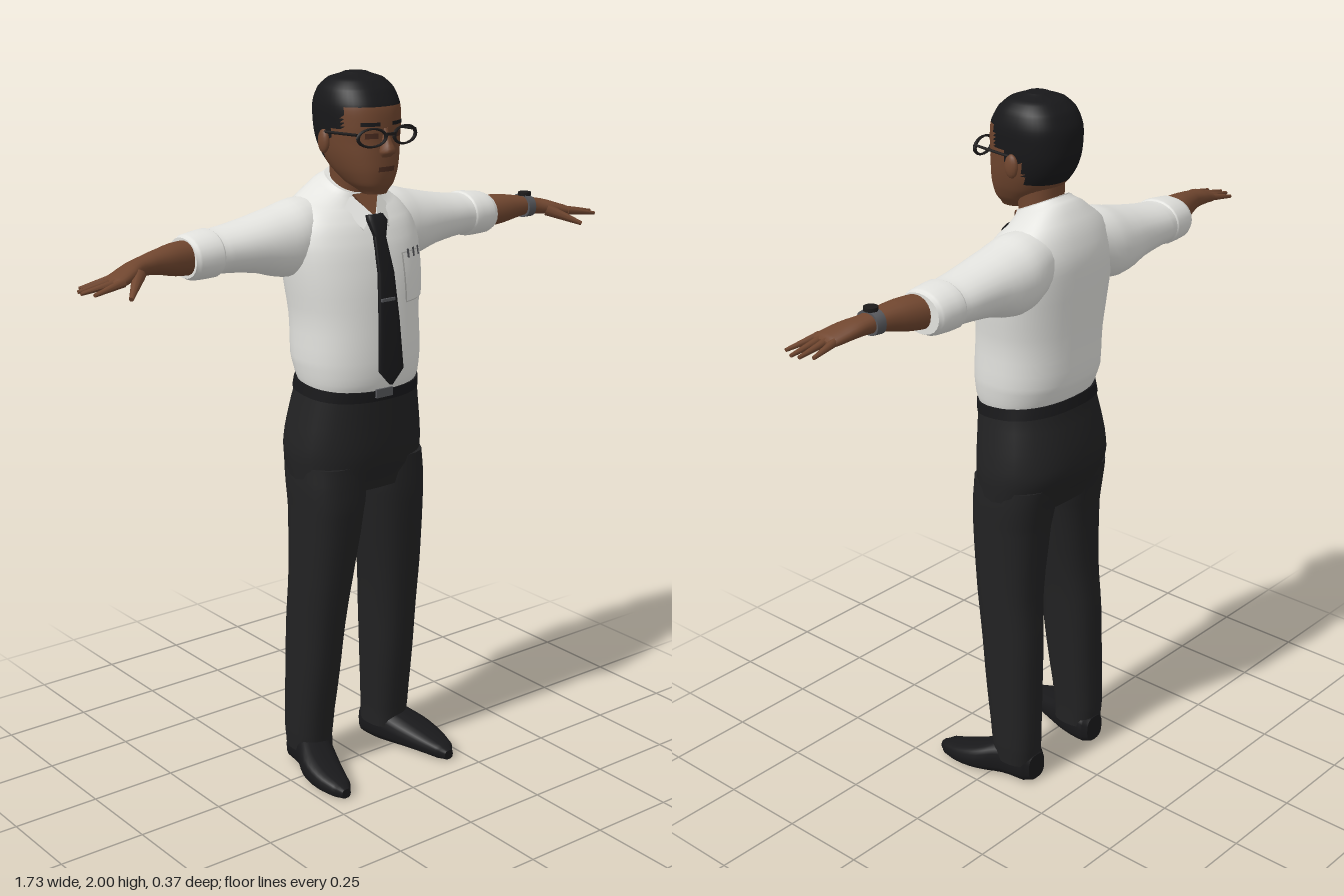
import * as THREE from 'three';

const mat = (name, color, side = THREE.FrontSide) => {
  const m = new THREE.MeshStandardMaterial({ color, side });
  m.name = name;
  return m;
};

// Catmull-Rom refinement of a list of rings
function refine(rings, sub) {
  const out = [];
  const at = i => rings[Math.max(0, Math.min(rings.length - 1, i))];
  for (let i = 0; i < rings.length - 1; i++) {
    for (let k = 0; k < sub; k++) {
      const t = k / sub;
      out.push(rings[i].map((b, q) => {
        const a = at(i - 1)[q], c = at(i + 1)[q], d = at(i + 2)[q];
        if (q === 0) return b + (c - b) * t;
        return b + 0.5 * t * (c - a + t * (2 * a - 5 * b + 4 * c - d + t * (3 * (b - c) + d - a)));
      }));
    }
  }
  out.push(rings[rings.length - 1]);
  return out;
}

// Closed skin through rings [t, centreU, centreV, halfU, halfV, tilt], t ascending along the axis
function loft(rings, { n = 2.3, seg = 24, axis = 'y', sub = 3, pick = null } = {}) {
  const dense = refine(rings, sub), pos = [], lists = [[], []];
  const place = (t, u, v) => axis === 'y' ? [u, t, v] : axis === 'x' ? [t, u, v] : [u, v, t];
  const pw = c => Math.sign(c) * Math.abs(c) ** (2 / n);
  const addRing = ([t, cu, cv, hu, hv, tilt = 0]) => {
    for (let j = 0; j < seg; j++) {
      const a = j / seg * Math.PI * 2, v = hv * pw(Math.sin(a));
      pos.push(...place(t + tilt * v, cu + hu * pw(Math.cos(a)), cv + v));
    }
  };
  const tri = (a, b, c) => {
    const mid = [0, 1, 2].map(k => (pos[a * 3 + k] + pos[b * 3 + k] + pos[c * 3 + k]) / 3);
    lists[pick ? pick(...mid) : 0].push(...(axis === 'y' ? [a, b, c] : [a, c, b]));
  };
  dense.forEach(addRing);
  for (let i = 0; i < dense.length - 1; i++) {
    for (let j = 0; j < seg; j++) {
      const k = (j + 1) % seg, a = i * seg + j, b = i * seg + k;
      tri(a, a + seg, b);
      tri(b, a + seg, b + seg);
    }
  }
  [dense[0], dense[dense.length - 1]].forEach((r, end) => {
    const base = pos.length / 3;
    addRing(r);
    pos.push(...place(r[0], r[1], r[2]));
    for (let j = 0; j < seg; j++) {
      const a = base + j, b = base + (j + 1) % seg;
      end ? tri(base + seg, b, a) : tri(base + seg, a, b);
    }
  });
  const g = new THREE.BufferGeometry();
  g.setAttribute('position', new THREE.Float32BufferAttribute(pos, 3));
  g.setIndex([...lists[0], ...lists[1]]);
  if (pick) {
    g.addGroup(0, lists[0].length, 0);
    g.addGroup(lists[0].length, lists[1].length, 1);
  }
  g.computeVertexNormals();
  return g;
}

// Front z of a loft at (x, y)
const frontOf = (rings, n = 2.3) => (x, y) => {
  const d = refine(rings, 3);
  let i = 0;
  while (i < d.length - 2 && d[i + 1][0] < y) i++;
  const f = Math.max(0, Math.min(1, (y - d[i][0]) / (d[i + 1][0] - d[i][0])));
  const [, , cz, hx, hz] = d[i].map((a, q) => a + (d[i + 1][q] - a) * f);
  return cz + hz * Math.max(0, 1 - Math.abs(x / hx) ** n) ** (1 / n);
};

// Thin patch that follows a front surface
function patch(surf, x, y, w, h, off) {
  const g = new THREE.PlaneGeometry(w, h, 6, 6).translate(x, y, 0), p = g.attributes.position;
  for (let i = 0; i < p.count; i++) p.setZ(i, surf(p.getX(i), p.getY(i)) + off);
  g.computeVertexNormals();
  return g;
}

// Tapered rod between two points
function rod(a, b, r0, r1, seg = 8) {
  const p = new THREE.Vector3(...a), d = new THREE.Vector3(...b).sub(p);
  const g = new THREE.CylinderGeometry(r1, r0, d.length(), seg).translate(0, d.length() / 2, 0);
  g.applyQuaternion(new THREE.Quaternion().setFromUnitVectors(new THREE.Vector3(0, 1, 0), d.normalize()));
  return g.translate(p.x, p.y, p.z);
}

function mirrored(geo) {
  const g = geo.clone().scale(-1, 1, 1), ix = g.index.array;
  for (let i = 0; i < ix.length; i += 3) [ix[i], ix[i + 1]] = [ix[i + 1], ix[i]];
  g.computeVertexNormals();
  return g;
}

export function createModel() {
  const model = new THREE.Group();
  model.name = 'standingMan';
  const skin = mat('skin', 0x70462f), hair = mat('hair', 0x18181a), shirt = mat('shirt', 0xe2e2de, THREE.DoubleSide);
  const trousers = mat('trousers', 0x222223), black = mat('tieAndShoes', 0x19191b), frame = mat('glassesFrame', 0x1c1a1a);
  const metal = mat('metal', 0x55565a), darkSkin = mat('darkSkin', 0x4a2b1f), seam = mat('shirtSeam', 0xbdbdb9);

  const add = (name, geo, m, parent = model) => {
    const mesh = new THREE.Mesh(geo, m);
    mesh.name = name;
    parent.add(mesh);
    return mesh;
  };
  const pair = (name, geo, m) => {
    add(name + 'Left', geo, m);
    add(name + 'Right', mirrored(geo), m);
  };

  // Shirt body
  const torso = [
    [1.15, 0, -0.012, 0.168, 0.125, -0.1], [1.185, 0, -0.012, 0.177, 0.138, -0.05], [1.24, 0, -0.018, 0.185, 0.148, 0],
    [1.35, 0, -0.024, 0.185, 0.148, 0], [1.45, 0, -0.033, 0.198, 0.147, 0], [1.54, 0, -0.046, 0.205, 0.141, 0],
    [1.6, 0, -0.058, 0.195, 0.128, 0], [1.65, 0, -0.06, 0.16, 0.106, -0.15], [1.69, 0, -0.048, 0.1, 0.08, -0.4],
    [1.71, 0, -0.038, 0.07, 0.066, -0.45]];
  add('shirtBody', loft(torso, { seg: 36 }), shirt);
  const chest = frontOf(torso);

  // Sleeves, rolled cuffs and forearms
  pair('sleeve', loft([
    [0.08, 1.59, -0.085, 0.08, 0.08], [0.16, 1.57, -0.082, 0.1, 0.1], [0.22, 1.56, -0.082, 0.095, 0.1],
    [0.3, 1.562, -0.082, 0.075, 0.09], [0.4, 1.56, -0.084, 0.06, 0.08], [0.44, 1.558, -0.083, 0.059, 0.075]],
  { axis: 'x', n: 2.1 }), shirt);
  pair('cuff', loft([
    [0.425, 1.558, -0.083, 0.057, 0.074], [0.435, 1.558, -0.083, 0.064, 0.079], [0.5, 1.555, -0.08, 0.06, 0.073],
    [0.515, 1.555, -0.079, 0.053, 0.066]], { axis: 'x', n: 2.1 }), shirt);
  pair('forearm', loft([
    [0.48, 1.556, -0.075, 0.046, 0.05], [0.56, 1.56, -0.06, 0.042, 0.045], [0.63, 1.563, -0.046, 0.029, 0.034],
    [0.67, 1.56, -0.038, 0.024, 0.031], [0.71, 1.554, -0.024, 0.021, 0.039], [0.76, 1.542, -0.008, 0.016, 0.041],
    [0.78, 1.538, -0.005, 0.01, 0.037]], { axis: 'x', n: 2.2, seg: 20 }), skin);

  // Fingers: base z, tip x, tip z
  [[-0.034, 0.84, -0.046], [-0.014, 0.86, -0.017], [0.007, 0.865, 0.006], [0.024, 0.848, 0.042]].forEach(([z, tx, tz], i) => {
    pair('finger' + i, rod([0.755, 1.543, z], [tx, 1.528, tz], 0.0115, 0.005), skin);
  });
  pair('thumb', rod([0.695, 1.55, 0], [0.765, 1.512, 0.075], 0.018, 0.006), skin);

  // Wristwatch
  add('watchBand', loft([[0.632, 1.563, -0.044, 0.034, 0.039], [0.656, 1.561, -0.04, 0.031, 0.037]],
    { axis: 'x', sub: 1 }), metal);
  add('watchFace', new THREE.CylinderGeometry(0.019, 0.019, 0.01, 16).translate(0.644, 1.597, -0.042), frame);

  // Hips, belt and legs
  add('hips', loft([
    [0.865, 0, -0.022, 0.198, 0.112], [0.95, 0, -0.032, 0.205, 0.137], [1.0, 0, -0.033, 0.203, 0.143],
    [1.08, 0, -0.026, 0.19, 0.139], [1.17, 0, -0.015, 0.175, 0.131, -0.1]], { seg: 32, n: 2.4 }), trousers);
  add('belt', loft([[1.14, 0, -0.018, 0.181, 0.137, -0.1], [1.17, 0, -0.014, 0.178, 0.135, -0.1]],
    { seg: 32, n: 2.4, sub: 1 }), black);
  add('beltBuckle', new THREE.BoxGeometry(0.055, 0.024, 0.009).translate(-0.01, 1.15, 0.122), metal);
  pair('trouserLeg', loft([
    [0.06, 0.138, -0.06, 0.06, 0.067], [0.12, 0.14, -0.06, 0.062, 0.071], [0.3, 0.135, -0.047, 0.067, 0.083],
    [0.45, 0.13, -0.037, 0.071, 0.091], [0.6, 0.122, -0.022, 0.079, 0.096], [0.8, 0.107, -0.016, 0.094, 0.109],
    [0.88, 0.102, -0.022, 0.1, 0.116], [0.94, 0.1, -0.028, 0.098, 0.12]], { n: 2.5 }), trousers);
  pair('shoe', loft([
    [-0.13, 0.133, 0.045, 0.034, 0.04], [-0.11, 0.135, 0.05, 0.05, 0.05], [-0.04, 0.143, 0.055, 0.056, 0.055],
    [0.03, 0.17, 0.042, 0.06, 0.042], [0.1, 0.186, 0.03, 0.05, 0.03], [0.16, 0.19, 0.022, 0.033, 0.022],
    [0.185, 0.19, 0.016, 0.015, 0.014]], { axis: 'z', n: 2.8, seg: 20 }), black);

  // Tie and knot
  add('tie', loft([
    [1.175, 0, 0.139, 0.004, 0.005], [1.215, 0, 0.14, 0.041, 0.007], [1.35, 0, 0.13, 0.034, 0.008],
    [1.48, 0, 0.115, 0.026, 0.008], [1.59, 0, 0.082, 0.018, 0.008]], { n: 4, sub: 1 }), black);
  add('tieKnot', loft([[1.575, 0, 0.088, 0.018, 0.013], [1.615, 0, 0.076, 0.031, 0.016], [1.63, 0, 0.064, 0.026, 0.014]],
    { n: 3, sub: 1 }), black);
  add('tieClip', new THREE.BoxGeometry(0.045, 0.008, 0.006).translate(-0.006, 1.41, 0.134), metal);

  // Chest pocket with pen clips
  add('pocketSeam', patch(chest, 0.115, 1.455, 0.094, 0.134, 0.003), seam);
  add('pocket', patch(chest, 0.115, 1.456, 0.088, 0.128, 0.006), shirt);
  [0.09, 0.115, 0.14].forEach((x, i) => add('pocketPen' + i, patch(chest, x, 1.518, 0.009, 0.024, 0.009), metal));

  // Collar flaps with the open throat between them
  const collar = new THREE.Group();
  collar.name = 'collar';
  collar.position.set(0, 1.6, 0.083);
  collar.rotation.x = -0.6;
  model.add(collar);
  const flat = pts => new THREE.ExtrudeGeometry(
    new THREE.Shape(pts.map(p => new THREE.Vector2(...p))), { depth: 0.006, bevelEnabled: false });
  add('throat', flat([[0, 0.025], [0.042, 0.1], [-0.042, 0.1]]).translate(0, 0, -0.006), skin, collar);
  for (const s of [1, -1]) {
    const pts = [[0.006, 0.035], [0.045, 0], [0.076, 0.07], [0.042, 0.105]].map(([x, y]) => [s * x, y]);
    add(s > 0 ? 'collarFlapLeft' : 'collarFlapRight', flat(pts), shirt, collar).rotation.y = s * 0.35;
  }
  add('collarBand', loft([[1.67, 0, -0.04, 0.076, 0.07, -0.45], [1.712, 0, -0.036, 0.068, 0.063, -0.45]],
    { sub: 1 }), shirt);
  add('neck', loft([[1.62, 0, -0.035, 0.06, 0.06], [1.7, 0, -0.03, 0.06, 0.057], [1.8, 0, -0.02, 0.064, 0.07]]), skin);

  // Head, with the hair as the faces above the hairline
  const head = [
    [1.688, 0, 0.062, 0.032, 0.034], [1.715, 0, 0.042, 0.058, 0.068], [1.75, 0, 0.02, 0.078, 0.096],
    [1.79, 0, 0.002, 0.092, 0.113], [1.83, 0, -0.009, 0.1, 0.121], [1.87, 0, -0.012, 0.104, 0.125],
    [1.92, 0, -0.014, 0.105, 0.121], [1.96, 0, -0.016, 0.094, 0.1], [1.985, 0, -0.016, 0.07, 0.071],
    [2, 0, -0.016, 0.03, 0.03]];
  const hairline = z => z > 0.05 ? 1.922 : z > 0.005 ? 1.86 : z > -0.045 ? 1.835 : 1.775;
  add('headAndHair', loft(head, { seg: 48, sub: 5, pick: (x, y, z) => y > hairline(z) ? 1 : 0 }), [skin, hair]);
  const face = frontOf(head);

  // Face details
  add('nose', loft([
    [1.79, 0, 0.112, 0.016, 0.012], [1.805, 0, 0.117, 0.022, 0.026], [1.83, 0, 0.112, 0.013, 0.02],
    [1.865, 0, 0.106, 0.008, 0.01]], { seg: 14 }), skin);
  add('lips', patch(face, 0, 1.758, 0.052, 0.013, 0.003), darkSkin);
  pair('eye', patch(face, 0.042, 1.846, 0.034, 0.014, 0.003), darkSkin);
  pair('eyebrow', patch(face, 0.044, 1.876, 0.048, 0.01, 0.003), hair);
  pair('ear', new THREE.SphereGeometry(1, 14, 10).scale(0.012, 0.032, 0.021).translate(0.105, 1.825, -0.018), skin);

  // Glasses
  pair('glassesRim', new THREE.TorusGeometry(0.038, 0.005, 6, 20).scale(1.1, 0.62, 1)
    .rotateY(0.16).translate(0.055, 1.845, 0.124), frame);
  pair('glassesTemple', rod([0.098, 1.855, 0.116], [0.107, 1.85, -0.02], 0.004, 0.004, 6), frame);
  add('glassesBridge', new THREE.BoxGeometry(0.03, 0.007, 0.006).translate(0, 1.852, 0.134), frame);

  return model;
}
